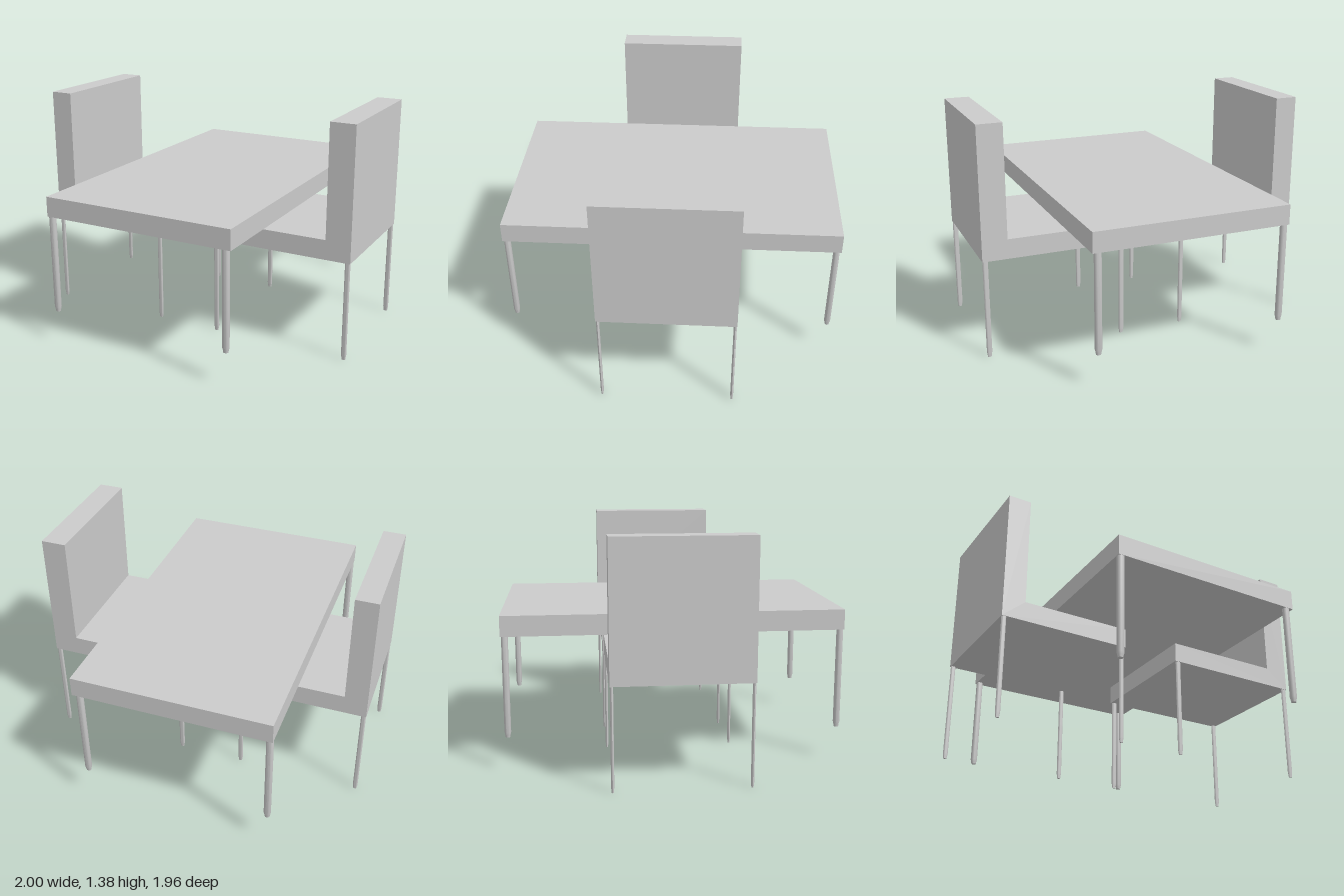
import * as THREE from 'three';
import { toCreasedNormals } from 'three/addons/utils/BufferGeometryUtils.js';

const material = new THREE.MeshStandardMaterial({ color: 0xcccccc });

function addMesh(parent, name, geometry, x, y, z) {
  const mesh = new THREE.Mesh(geometry, material);
  mesh.name = name;
  mesh.position.set(x, y, z);
  parent.add(mesh);
  return mesh;
}

// Round leg with a small taper at the foot; rx and rz allow an oval section
function legGeometry(rx, rz, height) {
  const profile = [[0, 0], [0.7, 0], [0.8, 0.014], [1, 0.03], [1, height], [0, height]]
    .map(([r, y]) => new THREE.Vector2(r, y));
  const geometry = new THREE.LatheGeometry(profile, 16);
  geometry.scale(rx, 1, rz);
  return toCreasedNormals(geometry, 0.6);
}

// Chair with its back at x = 0 and its seat reaching towards +x
function createChair(name) {
  const chair = new THREE.Group();
  chair.name = name;
  const depth = 0.784;
  const outline = new THREE.Shape(
    [[0, 0.59], [0.781, 0.59], [0.781, 0.707], [0.135, 0.707], [0.135, 1.375], [0, 1.375]]
      .map(([x, y]) => new THREE.Vector2(x, y)));
  const body = new THREE.ExtrudeGeometry(outline, { depth, bevelEnabled: false });
  addMesh(chair, 'seatAndBack', body, 0, 0, -depth / 2);

  const leg = legGeometry(0.0145, 0.009, 0.592);
  for (const x of [0.016, 0.76])
    for (const z of [-0.381, 0.381]) addMesh(chair, 'chairLeg', leg, x, 0, z);
  return chair;
}

export function createModel() {
  const model = new THREE.Group();
  model.name = 'diningSet';

  // Table, with its feet above the chair feet
  const table = new THREE.Group();
  table.name = 'table';
  addMesh(table, 'tableTop', new THREE.BoxGeometry(1.177, 0.118, 1.96), -0.022, 0.846, 0);
  const leg = legGeometry(0.021, 0.019, 0.589);
  for (const x of [-0.589, 0.529])
    for (const z of [-0.956, 0.96]) addMesh(table, 'tableLeg', leg, x, 0.2, z);
  model.add(table);

  // Facing chairs, the left one slightly deeper
  const rightChair = createChair('rightChair');
  rightChair.position.x = -1;
  const leftChair = createChair('leftChair');
  leftChair.position.x = 1;
  leftChair.rotation.y = Math.PI;
  leftChair.scale.x = 1.107;
  model.add(rightChair, leftChair);

  return model;
}
